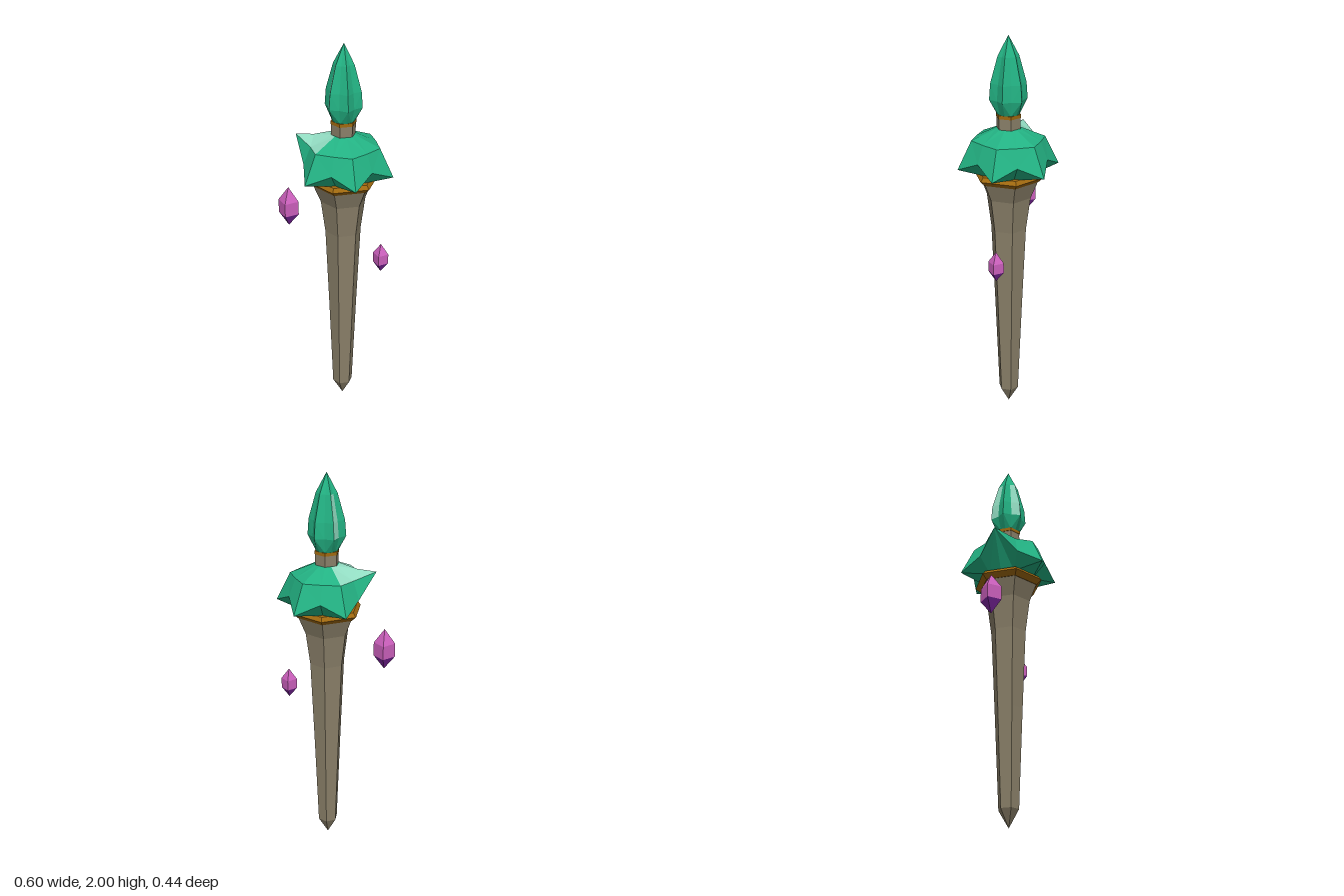
import * as THREE from 'three';

const AXIS_X = 0.045; // the staff stands a little off centre

const mat = (name, color) => {
  const m = new THREE.MeshStandardMaterial({ color, flatShading: true });
  m.name = name;
  return m;
};

// Faceted solid turned from [radius, y] points
function turned(name, points, sides, material) {
  const pts = points.map(([r, y]) => new THREE.Vector2(r, y));
  const geo = new THREE.LatheGeometry(pts, sides).toNonIndexed();
  geo.computeVertexNormals();
  const mesh = new THREE.Mesh(geo, material);
  mesh.name = name;
  return mesh;
}

// Six-lobed gem skinned over rings of 12 points; even points are lobes, odd ones valleys.
// Ring: { lobe: [r, y], valley: [r, y], raised: [r, y] for the lobe facing -x }
// isLight(row, i, upper) picks the pale facets.
function starGem(name, rings, isLight, materials) {
  const point = (ring, i) => {
    const k = i % 12;
    const [r, y] = k === 6 && ring.raised ? ring.raised : k % 2 ? ring.valley : ring.lobe;
    const a = (k * Math.PI) / 6;
    return new THREE.Vector3(r * Math.cos(a), y, r * Math.sin(a));
  };
  const faces = [[], []];
  const add = (light, ...tri) => {
    if (new THREE.Triangle(...tri).getArea() < 1e-7) return;
    for (const p of tri) faces[light ? 1 : 0].push(p.x, p.y, p.z);
  };
  for (let row = 0; row < rings.length - 1; row++) {
    for (let i = 0; i < 12; i++) {
      const a = point(rings[row], i), b = point(rings[row], i + 1);
      const d = point(rings[row + 1], i), c = point(rings[row + 1], i + 1);
      const flip = rings[row].raised && (i === 5 || i === 6);
      const useAC = (i % 2 === 1) !== Boolean(flip);
      const up = isLight(row, i, true), low = isLight(row, i, false);
      if (useAC) {
        add(up, a, d, c);
        add(low, a, c, b);
      } else {
        add(up, b, d, c);
        add(low, a, d, b);
      }
    }
  }
  const geo = new THREE.BufferGeometry();
  geo.setAttribute('position', new THREE.Float32BufferAttribute(faces.flat(), 3));
  geo.addGroup(0, faces[0].length / 3, 0);
  geo.addGroup(faces[0].length / 3, faces[1].length / 3, 1);
  geo.computeVertexNormals();
  const mesh = new THREE.Mesh(geo, materials);
  mesh.name = name;
  return mesh;
}

export function createModel() {
  const stone = mat('stone', 0x8a8069);
  const gold = mat('gold', 0xa0690f);
  const green = mat('green crystal', 0x23b283);
  const mint = mat('pale crystal', 0x92dcc2);
  const pink = mat('pink crystal', 0xcc60bd);
  const purple = mat('purple crystal', 0x8428a8);

  const model = new THREE.Group();
  model.name = 'crystalStaff';
  const staff = new THREE.Group();
  staff.name = 'staff';
  staff.position.x = AXIS_X;
  model.add(staff);

  // Hexagonal shaft and its collar
  staff.add(
    turned('shaft', [[0, 0], [0.052, 0.09], [0.073, 0.6], [0.092, 1.02], [0.115, 1.19], [0.152, 1.28], [0, 1.28]], 6, stone),
    turned('collar', [[0, 1.28], [0.155, 1.28], [0.182, 1.305], [0.165, 1.325], [0, 1.325]], 6, gold),
    turned('neck', [[0, 1.53], [0.061, 1.53], [0.061, 1.6], [0, 1.6]], 6, stone),
    turned('neckBand', [[0, 1.6], [0.064, 1.6], [0.064, 1.617], [0, 1.617]], 6, gold),
  );

  // Lobed crown with one lobe swept upward
  const same = (r, y) => ({ lobe: [r, y], valley: [r, y] });
  staff.add(starGem('crown', [
    same(0, 1.32),
    same(0.13, 1.32),
    { lobe: [0.255, 1.345], valley: [0.2, 1.4], raised: [0.245, 1.515] },
    { lobe: [0.185, 1.49], valley: [0.165, 1.49], raised: [0.15, 1.525] },
    same(0.06, 1.545),
    same(0, 1.545),
  ], (row, i, upper) => (row === 2 && upper && (i === 5 || i === 6)) || (row === 3 && i >= 4 && i <= 7),
  [green, mint]));

  // Pointed finial with two pale streaks
  staff.add(starGem('finial', [
    same(0, 1.615),
    same(0.055, 1.615),
    { lobe: [0.095, 1.69], valley: [0.074, 1.69] },
    { lobe: [0.089, 1.77], valley: [0.067, 1.77] },
    { lobe: [0.053, 1.9], valley: [0.041, 1.9] },
    same(0, 2),
  ], (row, i) => (row === 2 || row === 3) && (i === 4 || i === 7),
  [green, mint]));

  // Floating four-sided shards, pink above and purple below
  const shard = (name, x, y, r, h) => {
    const g = new THREE.Group();
    g.name = name;
    g.position.set(x, y, 0);
    g.add(
      turned('shardTip', [[0, 0], [r, h * 0.32]], 4, purple),
      turned('shardBody', [[r, h * 0.32], [r, h * 0.65], [0, h]], 4, pink),
    );
    model.add(g);
  };
  shard('largeShard', -0.246, 1.0, 0.054, 0.215);
  shard('smallShard', 0.245, 0.808, 0.04, 0.157);

  return model;
}
